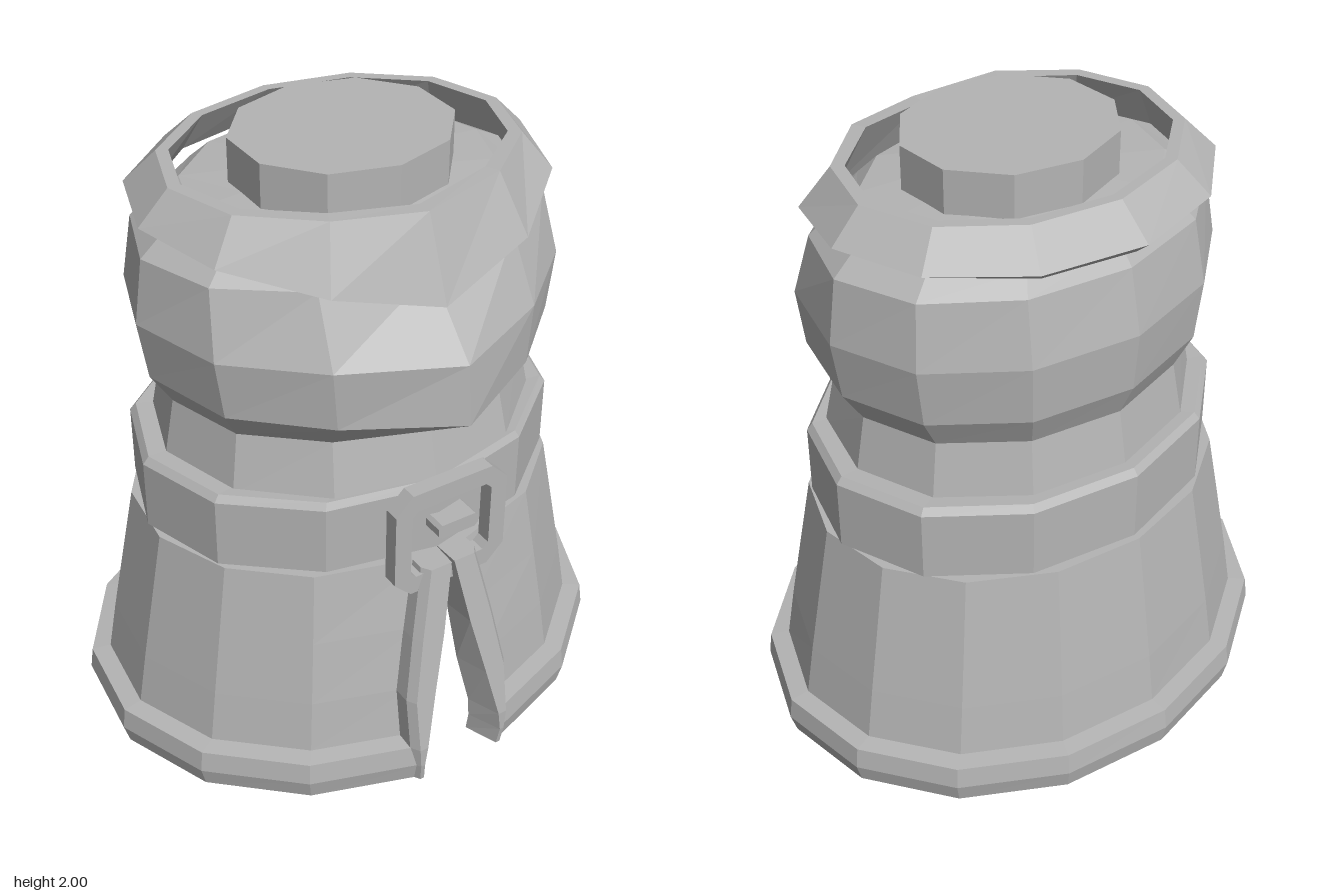
import * as THREE from 'three';

const cloth = new THREE.MeshStandardMaterial({ color: 0xb4b4b4, flatShading: true, side: THREE.DoubleSide });
cloth.name = 'stone grey';

// Joins rows of points [x, y, z] into a faceted skin, with optional flat caps
function loft(name, rows, { closed = true, capBottom = false, capTop = false } = {}) {
  const pos = [];
  const tri = (a, b, c) => pos.push(...a, ...b, ...c);
  const n = rows[0].length;
  for (let r = 0; r < rows.length - 1; r++) {
    for (let c = 0; c < (closed ? n : n - 1); c++) {
      const k = (c + 1) % n, lo = rows[r], hi = rows[r + 1];
      tri(lo[c], lo[k], hi[k]);
      tri(lo[c], hi[k], hi[c]);
    }
  }
  const last = rows[rows.length - 1];
  for (let c = 1; c < n - 1; c++) {
    if (capBottom) tri(rows[0][0], rows[0][c + 1], rows[0][c]);
    if (capTop) tri(last[0], last[c], last[c + 1]);
  }
  const g = new THREE.BufferGeometry();
  g.setAttribute('position', new THREE.Float32BufferAttribute(pos, 3));
  g.computeVertexNormals();
  const mesh = new THREE.Mesh(g, cloth);
  mesh.name = name;
  return mesh;
}

// Oval ring with its own depth at the back and front; nose overrides the front point
function ring([y, rx, back, front, nose = front], n = 12) {
  return Array.from({ length: n }, (_, i) => {
    const a = (i / n) * Math.PI * 2, c = Math.cos(a);
    return [rx * Math.sin(a), y, i === 0 ? nose : c * (c > 0 ? front : back)];
  });
}

// Arc around the back, open at the front between x = -gap and x = gap
function openRing([y, rx, rz, gap]) {
  const pts = [];
  for (let i = -7; i <= 7; i++) {
    const a = Math.abs(i) === 7 ? Math.sign(i) * (Math.PI - Math.asin(gap / rx)) : THREE.MathUtils.degToRad(i * 24.35);
    pts.push([-rx * Math.sin(a), y, -rz * Math.cos(a)]);
  }
  return pts;
}

// Rounded-off rectangle outline
function chamferedRect(path, w, h, c) {
  const p = [[-w + c, -h], [w - c, -h], [w, -h + c], [w, h - c], [w - c, h], [-w + c, h], [-w, h - c], [-w, -h + c]];
  path.setFromPoints(p.map(([x, y]) => new THREE.Vector2(x, y)));
  path.closePath();
  return path;
}

export function createModel() {
  const model = new THREE.Group();
  model.name = 'robedFigure';

  // Skirt: inner wall down, heavy hem, outer wall up
  model.add(loft('skirt', [
    [0.79, 0.69, 0.57, 0.06], [0.145, 0.80, 0.66, 0.15], [0, 0.825, 0.69, 0.15],
    [0, 0.895, 0.755, 0.15], [0.07, 0.915, 0.77, 0.15], [0.145, 0.905, 0.76, 0.15],
    [0.15, 0.842, 0.70, 0.15], [0.33, 0.81, 0.675, 0.14], [0.55, 0.767, 0.64, 0.10],
    [0.79, 0.72, 0.60, 0.06], [0.79, 0.66, 0.54, 0.06],
  ].map(openRing), { closed: false }));

  // Raised trim on both sides of the opening: y, front inner x, back inner x, outer x, front z
  const trim = [
    [0, 0.145, 0.10, 0.18, 0.755], [0.07, 0.15, 0.10, 0.185, 0.765], [0.145, 0.14, 0.095, 0.19, 0.765],
    [0.33, 0.10, 0.06, 0.19, 0.735], [0.55, 0.05, 0.035, 0.15, 0.70], [0.79, 0.005, 0, 0.10, 0.66],
  ];
  for (const s of [1, -1]) {
    const rows = trim.map(([y, fi, bi, o, z]) => {
      const loop = [[s * fi, y, z], [s * (o - 0.02), y, z], [s * o, y, z - 0.03], [s * o, y, z - 0.11], [s * bi, y, z - 0.11]];
      return s > 0 ? loop : loop.reverse();
    });
    model.add(loft(s > 0 ? 'leftTrim' : 'rightTrim', rows, { capBottom: true, capTop: true }));
  }

  // Belt with a chamfered upper edge
  model.add(loft('belt', [
    [0.79, 0.64, 0.52, 0.52], [0.79, 0.715, 0.578, 0.573], [1.025, 0.715, 0.578, 0.573],
    [1.048, 0.695, 0.56, 0.56], [1.045, 0.62, 0.50, 0.53],
  ].map((r) => ring(r))));

  // Chest and masked head, its front drawn out to a snout
  model.add(loft('torso', [[1.03, 0.637, 0.525, 0.557], [1.225, 0.60, 0.49, 0.51]].map((r) => ring(r))));
  model.add(loft('head', [
    [1.225, 0.60, 0.49, 0.51], [1.335, 0.67, 0.54, 0.61, 0.71], [1.53, 0.70, 0.555, 0.61, 0.69],
    [1.74, 0.67, 0.51, 0.49, 0.49], [1.80, 0.60, 0.46, 0.43], [1.85, 0.50, 0.42, 0.39], [1.86, 0.33, 0.29, 0.31],
  ].map((r) => ring(r))));

  // Brow band: level at the back, dipping to a point in front
  const drop = [0.18, 0.09, 0.022];
  const lipDepth = [0.002, 0.02, 0.035];
  const band = [[1.94, 0.53, 0.425, 0.42], [1.80, 0.59, 0.525, 0.545], [1.84, 0.67, 0.57, 0.57], [1.94, 0.57, 0.46, 0.47], [1.94, 0.53, 0.425, 0.42]]
    .map((r, k) => ring(r).map(([x, y, z], i) => {
      const d = Math.min(i, 12 - i);
      if (k === 1) return [x, 1.84 - (drop[d] ?? 0) - (lipDepth[d] ?? 0.04), z];
      if (k === 2) return [x, y - (drop[d] ?? 0), z];
      return [x, y - (d === 0 ? 0.02 : 0), z];
    }));
  model.add(loft('browBand', band));

  // Flat crown
  const crown = loft('crown', [[1.84, 0.352, 0.315, 0.315], [2, 0.352, 0.315, 0.315]].map((r) => ring(r, 10)), { capTop: true });
  crown.position.z = 0.013;
  model.add(crown);

  // Belt buckle: chamfered frame and prong
  const buckle = new THREE.Group();
  buckle.name = 'buckle';
  const shape = chamferedRect(new THREE.Shape(), 0.203, 0.19, 0.06);
  shape.holes.push(chamferedRect(new THREE.Path(), 0.145, 0.128, 0.02));
  const frame = new THREE.Mesh(new THREE.ExtrudeGeometry(shape, { depth: 0.052, bevelEnabled: false }), cloth);
  frame.name = 'buckleFrame';
  frame.position.set(0, 0.9, 0.59);
  const prongShape = chamferedRect(new THREE.Shape(), 0.073, 0.025, 0.012);
  const prong = new THREE.Mesh(new THREE.ExtrudeGeometry(prongShape, { depth: 0.09, bevelEnabled: false }), cloth);
  prong.name = 'buckleProng';
  prong.position.set(0.033, 0.9, 0.545);
  buckle.add(frame, prong);
  model.add(buckle);

  return model;
}
